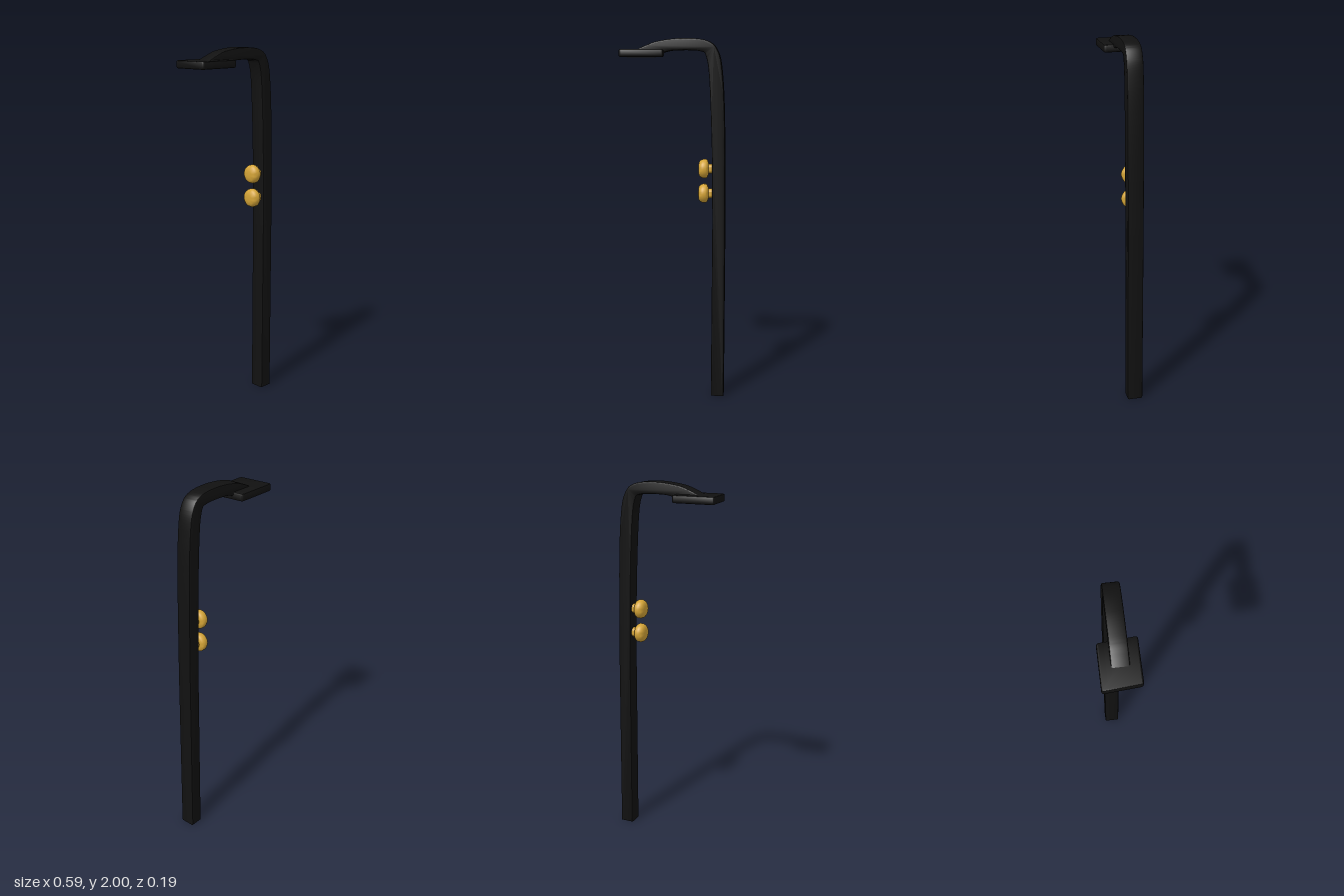
import * as THREE from 'three';
import { toCreasedNormals } from 'three/addons/utils/BufferGeometryUtils.js';

const black = new THREE.MeshStandardMaterial({ color: 0x111111 });
const gold = new THREE.MeshStandardMaterial({ color: 0xd4a437 });
const panelGrey = new THREE.MeshStandardMaterial({ color: 0x4a4a4a });

// Extrudes a shape to a total depth, with a bevel kept inside the outline
function bevelled(shape, depth, bevel) {
  const geo = new THREE.ExtrudeGeometry(shape, {
    depth: depth - 2 * bevel, curveSegments: 8, bevelEnabled: true,
    bevelThickness: bevel, bevelSize: bevel, bevelOffset: -bevel, bevelSegments: 2,
  });
  geo.translate(0, 0, bevel);
  return toCreasedNormals(geo, 0.5);
}

function addMesh(parent, name, geo, material) {
  const mesh = new THREE.Mesh(geo, material);
  mesh.name = name;
  parent.add(mesh);
  return mesh;
}

// Rounded parallelogram in plan, leaning in x along its second axis
function leaningPlate(halfX, halfZ, lean, r) {
  const corners = [[-halfX, -halfZ], [halfX, -halfZ], [halfX, halfZ], [-halfX, halfZ]]
    .map(([x, z]) => new THREE.Vector2(x + lean * Math.sign(z), z));
  const shape = new THREE.Shape();
  corners.forEach((c, i) => {
    const prev = corners[(i + 3) % 4], next = corners[(i + 1) % 4];
    const a = c.clone().add(prev.clone().sub(c).setLength(r));
    const b = c.clone().add(next.clone().sub(c).setLength(r));
    if (i === 0) shape.moveTo(a.x, a.y); else shape.lineTo(a.x, a.y);
    shape.quadraticCurveTo(c.x, c.y, b.x, b.y);
  });
  shape.closePath();
  return shape;
}

export function createModel() {
  const group = new THREE.Group();
  const v = (x, y) => new THREE.Vector2(x, y);

  // Post that bends over into a tapering arm, drawn in side profile
  const profile = new THREE.Shape();
  profile.moveTo(0.222, 0);
  profile.lineTo(0.294, 0);
  profile.lineTo(0.292, 1.0);
  profile.splineThru([v(0.284, 1.55), v(0.269, 1.82), v(0.243, 1.935), v(0.185, 1.987),
    v(0.06, 2.0), v(-0.07, 1.986), v(-0.14, 1.963), v(-0.21, 1.932)]);
  profile.lineTo(-0.21, 1.92);
  profile.lineTo(-0.06, 1.92);
  profile.splineThru([v(0.01, 1.935), v(0.145, 1.932), v(0.182, 1.9),
    v(0.201, 1.76), v(0.216, 1.4), v(0.222, 1.0)]);
  profile.closePath();
  const post = addMesh(group, 'postAndArm', bevelled(profile, 0.086, 0.007), black);
  post.position.z = -0.043;

  // Flat lamp head with a light panel underneath
  const head = new THREE.Group();
  head.name = 'lampHead';
  head.position.set(-0.169, 1.942, -0.002);
  const plate = bevelled(leaningPlate(0.119, 0.097, 0.008, 0.016), 0.041, 0.008);
  addMesh(head, 'headPlate', plate.rotateX(Math.PI / 2), black);
  const panel = new THREE.ExtrudeGeometry(leaningPlate(0.075, 0.06, 0.005, 0.004),
    { depth: 0.004, bevelEnabled: false });
  addMesh(head, 'lightPanel', panel.rotateX(Math.PI / 2), panelGrey).position.y = -0.039;
  group.add(head);

  // Two round knobs on the inner side of the post
  const knobProfile = [[0.026, 0], [0.026, 0.035], [0.034, 0.037], [0.046, 0.041], [0.052, 0.05],
    [0.052, 0.066], [0.046, 0.08], [0.036, 0.088], [0.018, 0.091], [0, 0.092]];
  const knobGeo = toCreasedNormals(
    new THREE.LatheGeometry(knobProfile.map(([r, h]) => v(r, h)), 32), 0.7);
  knobGeo.rotateZ(Math.PI / 2);
  [['upperKnob', 1.3], ['lowerKnob', 1.164]].forEach(([name, y]) => {
    addMesh(group, name, knobGeo, gold).position.set(0.233, y, 0);
  });

  return group;
}
